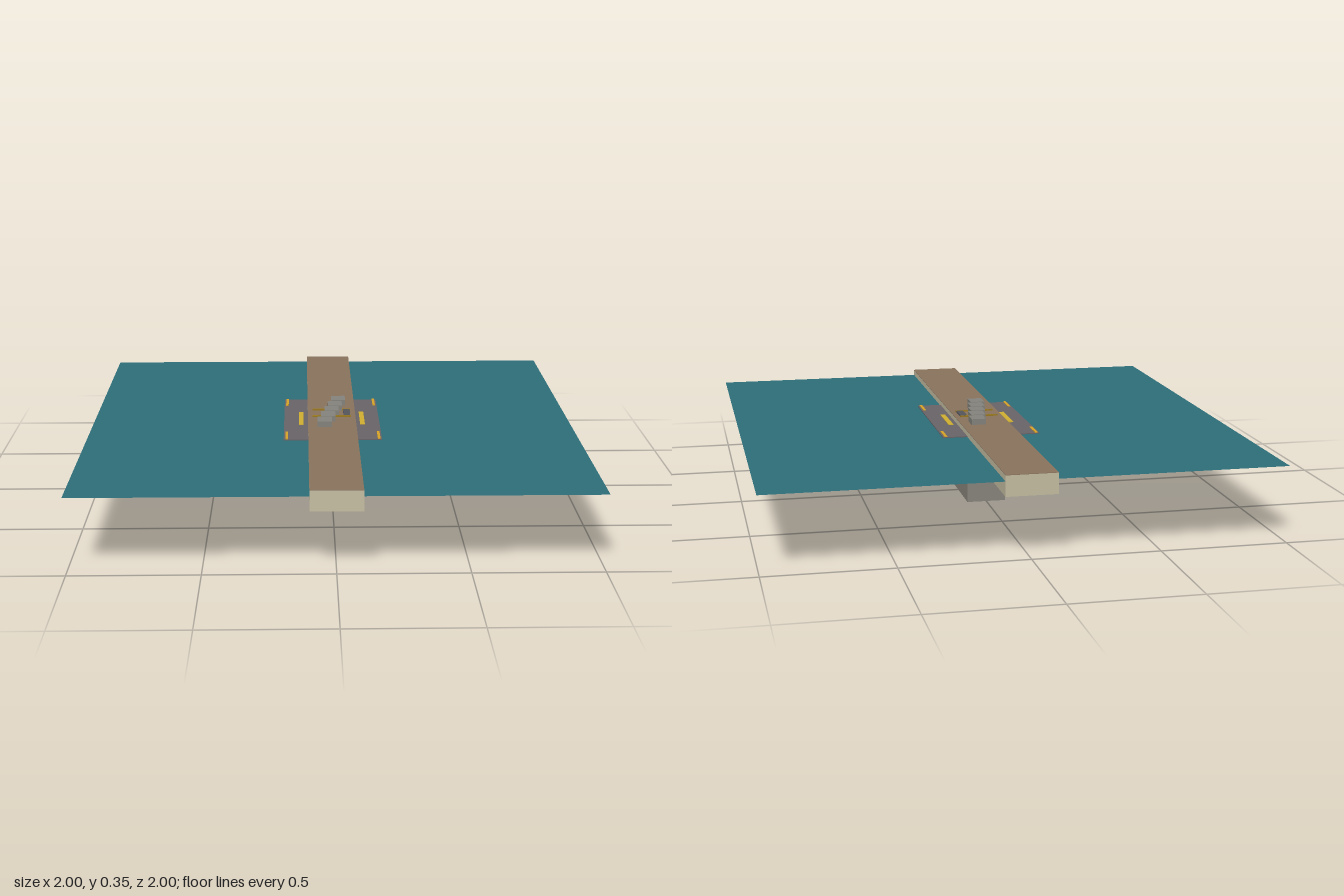
import * as THREE from 'three';

const mat = (name, color, side = THREE.FrontSide) => {
  const m = new THREE.MeshStandardMaterial({ color, side });
  m.name = name;
  return m;
};

export function createModel() {
  const root = new THREE.Group();
  root.name = 'bridgeOverWater';
  const water = mat('water teal', 0x2d6f7a, THREE.DoubleSide);
  const concrete = mat('concrete grey', 0x8a867e);
  const sand = mat('sandstone', 0xc8c0a4);
  const road = mat('road brown', 0x8a735e);
  const deck = mat('deck grey', 0x6a6468);
  const yellow = mat('marking yellow', 0xd0b030);
  const amber = mat('edge amber', 0xd8a528);
  const gold = mat('dark gold', 0x9a7a20);
  const block = mat('block grey', 0x85847e);
  const dark = mat('dark slate', 0x55565c);

  // Box from its centre x, z, base height y and size
  const box = (name, m, w, h, d, x, y, z) => {
    const mesh = new THREE.Mesh(new THREE.BoxGeometry(w, h, d), m);
    mesh.name = name;
    mesh.position.set(x, y + h / 2, z);
    root.add(mesh);
    return mesh;
  };

  // Water sheet
  const sheet = new THREE.Mesh(new THREE.PlaneGeometry(2, 2).rotateX(-Math.PI / 2), water);
  sheet.name = 'waterSurface';
  sheet.position.y = 0.303;
  root.add(sheet);

  // Supporting pier and its cap
  box('pier', concrete, 0.16, 0.245, 0.4, 0, 0, 0);
  box('pierCap', concrete, 0.4, 0.062, 0.4, 0, 0.241, 0);

  // Long beam with its walking surface
  box('beam', sand, 0.2, 0.081, 2, 0, 0.245, 0);
  box('beamTop', road, 0.2, 0.002, 2, 0, 0.326, 0);

  // Side decks with yellow centre lines and amber corner edges
  for (const s of [-1, 1]) {
    box('sideDeck', deck, 0.1, 0.004, 0.6, s * 0.15, 0.303, 0);
    box('deckLine', yellow, 0.02, 0.003, 0.19, s * 0.128, 0.307, 0);
    for (const t of [-1, 1]) {
      box('cornerEdge', amber, 0.011, 0.003, 0.1, s * 0.188, 0.307, t * 0.25);
    }
  }

  // Slanted row of stepping blocks
  for (let i = -2; i <= 2; i++) {
    box('steppingBlock', block, 0.06, 0.024, 0.072, -i * 0.0155, 0.328, i * 0.081);
  }

  // Thin trim between the blocks
  for (const t of [-1, 1]) {
    box('trimStrip', gold, 0.16, 0.006, 0.008, 0, 0.329, t * 0.05);
  }
  box('trimPlate', dark, 0.028, 0.007, 0.09, 0.064, 0.328, 0);

  return root;
}
